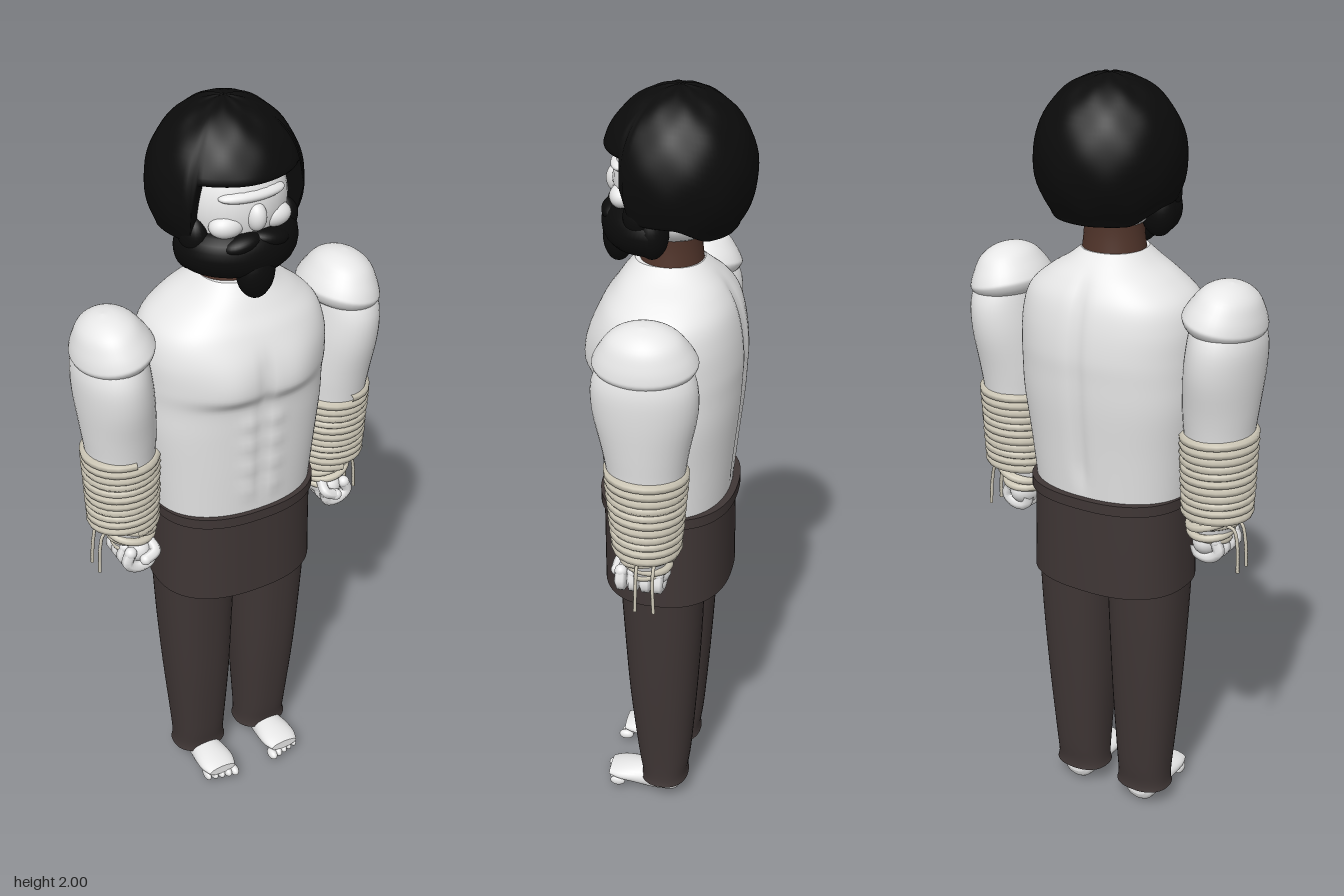
import * as THREE from 'three';

const mat = (name, color) => {
  const m = new THREE.MeshStandardMaterial({ color });
  m.name = name;
  return m;
};
const smooth = THREE.MathUtils.smoothstep;
const gauss = (v, c, w) => Math.exp(-(((v - c) / w) ** 2));

// Closed surface from rings, listed from top to bottom
function ringSurface(rows, cols, point) {
  const pos = [], idx = [];
  for (let i = 0; i < rows; i++)
    for (let j = 0; j < cols; j++) pos.push(...point(i, (j / cols) * Math.PI * 2));
  for (let i = 0; i < rows - 1; i++)
    for (let j = 0; j < cols; j++) {
      const k = (j + 1) % cols, a = i * cols, b = a + cols;
      idx.push(a + j, b + j, b + k, a + j, b + k, a + k);
    }
  const g = new THREE.BufferGeometry();
  g.setAttribute('position', new THREE.Float32BufferAttribute(pos, 3));
  g.setIndex(idx);
  g.computeVertexNormals();
  return g;
}

// Smooth capped loft through sections [y, centre x, half width, front z, back z]
function loft(sections, { power = 2, steps = 4, cols = 40, shape = p => p } = {}) {
  const n = sections.length, rows = [];
  for (let i = 0; i < n - 1; i++)
    for (let s = 0; s < steps || (i === n - 2 && s === steps); s++) {
      const t = s / steps;
      const [a, b, c, d] = [i - 1, i, i + 1, i + 2].map(k => sections[Math.min(n - 1, Math.max(0, k))]);
      rows.push(b.map((v, k) => v + 0.5 * t * (c[k] - a[k] + t * (2 * a[k] - 5 * v + 4 * c[k] - d[k]
        + t * (3 * (v - c[k]) + d[k] - a[k])))));
    }
  const cap = r => [r[0], r[1], 0, (r[3] + r[4]) / 2, (r[3] + r[4]) / 2];
  const first = rows[0], last = rows[rows.length - 1];
  const all = [cap(first), first, ...rows, last, cap(last)];
  const e = v => Math.sign(v) * Math.abs(v) ** (2 / power);
  return ringSurface(all.length, cols, (i, a) => {
    const [y, cx, rx, zf, zb] = all[i];
    return shape([cx + rx * e(Math.sin(a)), y, (zf + zb) / 2 + ((zf - zb) / 2) * e(Math.cos(a))]);
  });
}

export function createModel() {
  const skin = mat('pale skin', 0xe7e7e7), hair = mat('black hair', 0x0b0b0b);
  const cloth = mat('dark brown cloth', 0x3f3635), neckMat = mat('brown neck', 0x50342a);
  const rope = mat('rope', 0xcfc9b8);
  const model = new THREE.Group();
  const add = (parent, name, geo, m) => {
    const mesh = new THREE.Mesh(geo, m);
    mesh.name = name;
    parent.add(mesh);
    return mesh;
  };
  const blob = (parent, name, m, p, r) => {
    const mesh = add(parent, name, new THREE.SphereGeometry(1, 28, 18), m);
    mesh.position.set(...p);
    mesh.scale.set(...r);
    return mesh;
  };
  const cord = (parent, name, pts, r, m, seg = 16) => add(parent, name,
    new THREE.TubeGeometry(new THREE.CatmullRomCurve3(pts.map(p => new THREE.Vector3(...p))), seg, r, 6), m);

  // Torso with chest, belly muscles and spine groove
  add(model, 'torso', loft([
    [1.578, 0, 0.08, 0.085, -0.085], [1.55, 0, 0.115, 0.11, -0.115], [1.515, 0, 0.17, 0.135, -0.145],
    [1.47, 0, 0.22, 0.165, -0.17], [1.41, 0, 0.24, 0.186, -0.185], [1.34, 0, 0.243, 0.19, -0.192],
    [1.28, 0, 0.242, 0.18, -0.19], [1.2, 0, 0.24, 0.176, -0.185], [1.08, 0, 0.226, 0.17, -0.172],
    [0.94, 0, 0.212, 0.16, -0.158],
  ], { power: 2.25, steps: 7, cols: 96, shape: ([x, y, z]) => {
    const ax = Math.abs(x);
    if (z > 0.05) {
      z += 0.017 * smooth(y, 1.285, 1.33) * (1 - smooth(y, 1.34, 1.48)) * gauss(ax, 0.085, 0.075);
      z -= 0.006 * gauss(x, 0, 0.012) * smooth(y, 0.98, 1.05) * (1 - smooth(y, 1.38, 1.46));
      for (const r of [1.03, 1.1, 1.17, 1.235]) z += 0.006 * gauss(ax, 0.035, 0.022) * gauss(y, r, 0.024);
    } else if (z < -0.05) {
      z += 0.012 * gauss(x, 0, 0.018) * smooth(y, 0.95, 1.05) * (1 - smooth(y, 1.46, 1.56));
    }
    return [x, y, z];
  } }), skin);

  // Neck and head
  add(model, 'neck', loft([[1.68, 0, 0.076, 0.068, -0.078], [1.62, 0, 0.076, 0.068, -0.078],
    [1.565, 0, 0.082, 0.075, -0.084]]), neckMat);
  const head = new THREE.Group();
  head.name = 'head';
  model.add(head);
  blob(head, 'skull', skin, [0, 1.775, 0.005], [0.135, 0.15, 0.132]);
  blob(head, 'jaw', skin, [0, 1.69, -0.005], [0.11, 0.065, 0.115]);
  blob(head, 'brow', skin, [0, 1.815, 0.105], [0.085, 0.018, 0.035]);
  blob(head, 'nose', skin, [0, 1.765, 0.128], [0.024, 0.035, 0.028]);
  for (const s of [-1, 1]) {
    blob(head, 'cheek', skin, [s * 0.06, 1.745, 0.1], [0.045, 0.03, 0.034]);
    blob(head, 'ear', neckMat, [s * 0.125, 1.72, -0.02], [0.018, 0.03, 0.02]);
  }

  // Hair: thick dome whose rim rises over the face and curls inward
  const N = 24, curl = 8;
  add(head, 'hair', ringSurface(N + curl + 1, 96, (i, a) => {
    const b = a > Math.PI ? 2 * Math.PI - a : a;
    const rim = 1.865 - 0.15 * smooth(b, 0.84, 1.0) - 0.04 * smooth(b, 1.6, 2.3);
    const max = Math.acos((rim - 1.8) / 0.2);
    const t = Math.min(1, i / N), c = Math.max(0, (i - N) / curl) * Math.PI / 2;
    const phi = max * t;
    const k = (1 - 0.36 * (1 - Math.cos(c))) * (1 + 0.008 * Math.sin(9 * a) * Math.sin(8 * phi));
    const front = Math.cos(a) > 0 ? 0.192 : 0.182;
    return [0.185 * k * Math.sin(phi) * Math.sin(a),
      1.8 + 0.2 * Math.cos(phi) * (i > N ? 1 : k) - 0.014 * Math.sin(2 * c),
      -0.025 + front * k * Math.sin(phi) * Math.cos(a)];
  }), hair);

  // Beard: half ring round the jaw with chin tuft and moustache
  const jawRing = add(head, 'beard', new THREE.TorusGeometry(0.106, 0.045, 18, 40, Math.PI).rotateX(Math.PI / 2), hair);
  jawRing.position.set(0, 1.672, 0.022);
  jawRing.scale.set(1.03, 1.25, 0.95);
  blob(head, 'chinTuft', hair, [0, 1.625, 0.128], [0.048, 0.066, 0.038]);
  blob(head, 'chinTip', hair, [0, 1.592, 0.128], [0.034, 0.034, 0.03]);
  for (const s of [-1, 1]) {
    blob(head, 'beardEnd', hair, [s * 0.109, 1.675, 0.022], [0.046, 0.064, 0.04]);
    blob(head, 'sideburn', hair, [s * 0.118, 1.715, 0.045], [0.034, 0.05, 0.045]);
    blob(head, 'moustache', hair, [s * 0.036, 1.706, 0.125], [0.05, 0.022, 0.034]).rotation.z = -s * 0.2;
  }

  // Waist cloth and belt
  add(model, 'waistCloth', loft([[0.95, 0, 0.212, 0.165, -0.165], [0.82, 0, 0.214, 0.165, -0.167],
    [0.695, 0, 0.217, 0.165, -0.168]], { power: 2.4, cols: 64 }), cloth);
  add(model, 'belt', loft([[0.96, 0, 0.219, 0.174, -0.178], [0.932, 0, 0.219, 0.174, -0.178]],
    { power: 2.4, cols: 64, steps: 1 }), cloth);

  for (const s of [-1, 1]) {
    // Trouser leg
    const leg = new THREE.Group();
    leg.name = s > 0 ? 'leftLeg' : 'rightLeg';
    model.add(leg);
    add(leg, 'trouserLeg', loft([[0.74, s * 0.108, 0.108, 0.11, -0.112], [0.55, s * 0.107, 0.1, 0.1, -0.105],
      [0.35, s * 0.104, 0.09, 0.088, -0.093], [0.15, s * 0.101, 0.076, 0.068, -0.077],
      [0.08, s * 0.1, 0.073, 0.058, -0.068], [0.055, s * 0.1, 0.077, 0.06, -0.07]], { power: 2.3 }), cloth);

    // Foot: sections run from heel to toe, then the loft is laid forward
    const foot = loft([[0.05, 0, 0.03, 0.05, 0.012], [0.035, 0, 0.042, 0.072, 0.003],
      [-0.02, 0, 0.042, 0.078, 0], [-0.08, 0, 0.05, 0.06, 0.002], [-0.12, 0, 0.05, 0.05, 0.008],
      [-0.15, 0, 0.04, 0.042, 0.016]], { cols: 28, shape: ([x, y, z]) => [x, y, -z] }).rotateX(Math.PI / 2);
    // Mirroring the section reverses its corners, so turn the faces outward again
    const ix = foot.index.array;
    for (let i = 0; i < ix.length; i += 3) [ix[i], ix[i + 1]] = [ix[i + 1], ix[i]];
    foot.rotateX(Math.PI).rotateY(Math.PI);
    foot.computeBoundingBox();
    foot.computeVertexNormals();
    const bb = foot.boundingBox;
    foot.translate(0, -bb.min.y, 0);
    if (bb.max.z < -bb.min.z) foot.scale(1, 1, 1).rotateY(Math.PI);
    add(leg, 'foot', foot, skin).position.x = s * 0.102;
    for (let i = 0; i < 5; i++)
      blob(leg, 'toe', skin, [s * (0.064 + i * 0.019), 0.027, 0.146 - i * 0.005], [0.0125 - i * 0.0008, 0.014, 0.021]);

    // Arm
    const arm = new THREE.Group();
    arm.name = s > 0 ? 'leftArm' : 'rightArm';
    model.add(arm);
    add(arm, 'bareArm', loft([[1.47, s * 0.315, 0.075, 0.09, -0.095], [1.4, s * 0.321, 0.089, 0.122, -0.126],
      [1.32, s * 0.316, 0.094, 0.124, -0.128], [1.22, s * 0.308, 0.092, 0.105, -0.108],
      [1.14, s * 0.305, 0.086, 0.092, -0.095], [0.98, s * 0.303, 0.078, 0.072, -0.075],
      [0.92, s * 0.297, 0.064, 0.055, -0.055], [0.85, s * 0.288, 0.045, 0.045, -0.04]]), skin);

    // Shoulder cap: dome on a rounded lens
    const profile = [[0, -0.05], [0.05, -0.044], [0.085, -0.03], [0.1, -0.008], [0.098, 0.008],
      [0.086, 0.035], [0.066, 0.066], [0.035, 0.086], [0, 0.093]].map(p => new THREE.Vector2(...p));
    const cap = add(arm, 'shoulderCap', new THREE.LatheGeometry(new THREE.SplineCurve(profile).getPoints(32)
      .map(p => p.set(Math.max(0, p.x), p.y)), 40), skin);
    cap.position.set(s * 0.314, 1.447, -0.003);
    cap.scale.set(0.99, 1, 1.24);
    cap.rotation.z = -s * 0.2;

    // Rope wound round the forearm
    const turns = 11, pts = [];
    for (let i = 0; i <= turns * 16; i++) {
      const t = i / (turns * 16), a = t * turns * Math.PI * 2;
      pts.push([s * (0.305 + (0.089 - 0.006 * t) * Math.sin(a)), 1.155 - 0.225 * t, -0.002 + (0.094 - 0.019 * t) * Math.cos(a)]);
    }
    cord(arm, 'forearmRope', pts, 0.0125, rope, turns * 24);

    // Tilted wraps at the wrist and loose ends
    for (let i = 0; i < 4; i++) {
      const wrap = add(arm, 'wristWrap', new THREE.TorusGeometry(0.066 - i * 0.006, 0.01, 8, 32).rotateX(Math.PI / 2), rope);
      wrap.position.set(s * (0.294 - i * 0.003), 0.916 - i * 0.017, 0);
      wrap.rotation.set(i % 2 ? 0.15 : -0.12, 0, s * (0.3 - i * 0.12));
    }
    for (const z of [-0.03, 0.012])
      cord(arm, 'looseEnd', [[s * 0.34, 0.915, z], [s * 0.368, 0.91, z], [s * 0.38, 0.87, z], [s * 0.385, 0.795, z * 1.1]], 0.0045, rope);

    // Fist
    blob(arm, 'palm', skin, [s * 0.285, 0.856, 0.008], [0.042, 0.045, 0.066]);
    for (let i = 0; i < 4; i++) {
      const z = 0.062 - i * 0.031;
      cord(arm, 'finger', [[s * 0.318, 0.865, z], [s * 0.328, 0.835, z], [s * 0.302, 0.816, z],
        [s * 0.268, 0.822, z], [s * 0.262, 0.845, z]], 0.0155, skin);
      blob(arm, 'knuckle', skin, [s * 0.318, 0.865, z], [0.016, 0.016, 0.016]);
    }
    cord(arm, 'thumb', [[s * 0.26, 0.88, 0.04], [s * 0.255, 0.86, 0.075], [s * 0.285, 0.845, 0.08]], 0.015, skin);
    blob(arm, 'thumbTip', skin, [s * 0.285, 0.845, 0.08], [0.015, 0.015, 0.015]);
  }
  return model;
}
